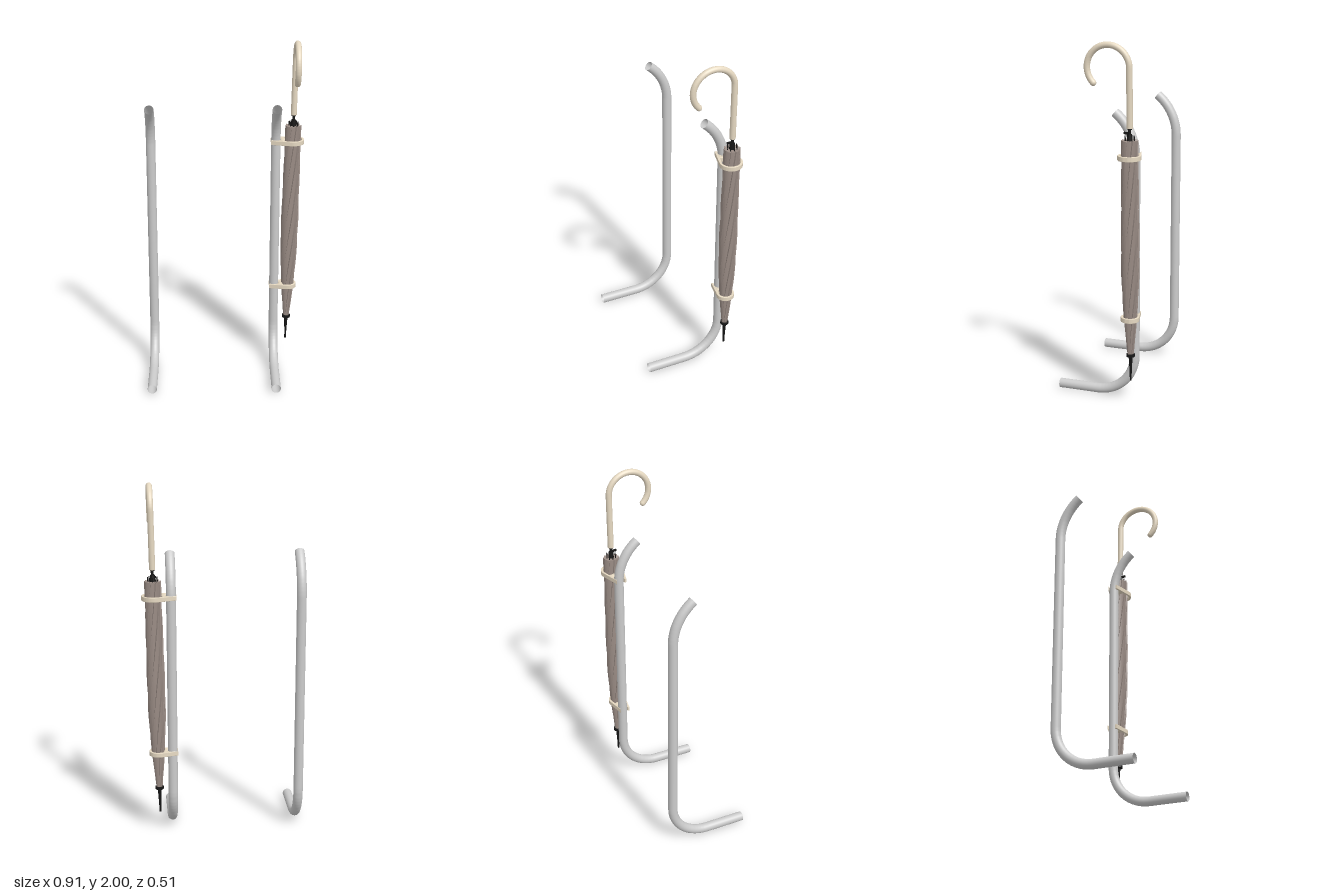
import * as THREE from 'three';
import { toCreasedNormals } from 'three/addons/utils/BufferGeometryUtils.js';

const mat = (color, side = THREE.FrontSide) => new THREE.MeshStandardMaterial({ color, side });
const metal = mat(0xcccccc, THREE.DoubleSide);
const cream = mat(0xe6d9c2);
const cloth = mat(0x9a8c85, THREE.DoubleSide);
const black = mat(0x161616);

const PIPE_Z = -0.19;
const PIPE_R = 0.027;
const TILT = 0.0176; // lean of the umbrella towards its left

function add(parent, name, geometry, material, x = 0, y = 0, z = 0) {
  const mesh = new THREE.Mesh(geometry, material);
  mesh.name = name;
  mesh.position.set(x, y, z);
  parent.add(mesh);
  return mesh;
}

// Points on an arc in the z-y plane, angles in degrees measured from +z
function arc(cz, cy, r, from, to, n = 14) {
  return Array.from({ length: n + 1 }, (_, i) => {
    const a = THREE.MathUtils.degToRad(from + ((to - from) * i) / n);
    return new THREE.Vector3(0, cy + r * Math.sin(a), cz + r * Math.cos(a));
  });
}

function sweep(points, radius, segments, sides) {
  const path = new THREE.CurvePath();
  for (let i = 1; i < points.length; i++) path.add(new THREE.LineCurve3(points[i - 1], points[i]));
  return new THREE.TubeGeometry(path, segments, radius, sides);
}

// Bent hollow pipe: foot, long upright, forward-leaning top
function pipeGeometry() {
  return sweep([
    new THREE.Vector3(0, PIPE_R, 0.26),
    ...arc(0.03, PIPE_R + 0.22, 0.22, 270, 180),
    ...arc(PIPE_Z + 0.3, 1.375, 0.3, 180, 128),
  ], PIPE_R, 180, 24);
}

// Clip: open jaw around the pipe joined to a ring around the umbrella
function clipGeometry(cx, outer) {
  const px = 0.29, inner = outer - 0.013, a = 1.83;
  const shape = new THREE.Shape();
  shape.moveTo(0.26, -0.034);
  shape.absarc(cx, 0, outer, -a, a, false);
  shape.lineTo(0.26, 0.034);
  shape.lineTo(0.26, 0.024);
  shape.absarc(px, 0, PIPE_R + 0.001, 2.3, -2.3, true);
  shape.lineTo(0.26, -0.024);
  shape.closePath();

  const hole = new THREE.Path();
  hole.absarc(cx, 0, inner, -a, a, false);
  hole.lineTo(0.335, inner * 0.75);
  hole.quadraticCurveTo(0.35, 0, 0.335, -inner * 0.75);
  hole.closePath();
  shape.holes.push(hole);

  const g = new THREE.ExtrudeGeometry(shape, {
    depth: 0.02, bevelEnabled: true, bevelThickness: 0.003, bevelSize: 0.002,
    bevelOffset: -0.002, bevelSegments: 2, curveSegments: 28,
  });
  g.translate(0, 0, -0.01);
  g.rotateX(Math.PI / 2);
  return toCreasedNormals(g, 0.6);
}

// Rolled cloth: a cylinder whose sides become twisted, overlapping pleats
function clothGeometry() {
  const profile = [[0.28, 0.017], [0.4, 0.029], [0.5, 0.037], [0.6, 0.044],
    [0.72, 0.049], [0.9, 0.051], [1.2, 0.048], [1.48, 0.046]];
  const radiusAt = (y) => {
    const i = Math.max(1, profile.findIndex((p) => p[0] >= y - 1e-6));
    const [y0, r0] = profile[i - 1], [y1, r1] = profile[i];
    return THREE.MathUtils.mapLinear(y, y0, y1, r0, r1);
  };
  const pleats = 10, steps = 8, height = 1.2;
  const g = new THREE.CylinderGeometry(1, 1, height, pleats * steps, 48);
  const pos = g.attributes.position;
  for (let i = 0; i < pos.count; i++) {
    const x = pos.getX(i), z = pos.getZ(i), unit = Math.hypot(x, z);
    const y = THREE.MathUtils.clamp(pos.getY(i) + height / 2 + 0.28, 0.28, 1.48);
    const a = Math.atan2(z, x);
    const step = Math.round((a / (2 * Math.PI)) * pleats * steps) + pleats * steps;
    const fold = (step % steps) / (steps - 1);
    const r = unit * radiusAt(y) * (0.84 + 0.16 * fold);
    const turn = a - 2.6 * (y - 0.28);
    const hem = y > 1.479 && unit > 0.5 ? 0.006 * fold : 0;
    pos.setXYZ(i, r * Math.cos(turn), y + hem, r * Math.sin(turn));
  }
  return toCreasedNormals(g, 0.5);
}

function createUmbrella() {
  const umbrella = new THREE.Group();
  umbrella.name = 'umbrella';
  umbrella.position.set(0.363, 0, PIPE_Z - 0.003);
  umbrella.rotation.z = -TILT;

  add(umbrella, 'rolledCloth', clothGeometry(), cloth);
  add(umbrella, 'shaft', new THREE.CylinderGeometry(0.008, 0.008, 1.28, 12), black, 0, 0.92);

  // Ferrule at the bottom
  const ferrule = [[0, 0.13], [0.005, 0.13], [0.006, 0.18], [0.01, 0.255], [0.012, 0.268],
    [0.024, 0.272], [0.024, 0.286], [0, 0.29]].map(([r, y]) => new THREE.Vector2(r, y));
  add(umbrella, 'ferrule', toCreasedNormals(new THREE.LatheGeometry(ferrule, 20), 0.6), black);

  // Runner, button and rib tips at the open end
  add(umbrella, 'runner', new THREE.CylinderGeometry(0.013, 0.016, 0.035, 16), black, 0, 1.5);
  add(umbrella, 'collar', new THREE.CylinderGeometry(0.012, 0.012, 0.012, 16), black, 0, 1.546);
  add(umbrella, 'button', new THREE.BoxGeometry(0.008, 0.012, 0.03), black, 0, 1.522, 0.018);
  for (let i = 0; i < 8; i++) {
    const a = (i / 8) * Math.PI * 2;
    add(umbrella, 'ribTip', new THREE.CylinderGeometry(0.003, 0.003, 0.04, 6), black,
      0.026 * Math.cos(a), 1.487, 0.026 * Math.sin(a));
  }

  // Crook handle with closed ends
  const r = 0.017;
  const crook = [new THREE.Vector3(0, 1.55, 0), ...arc(0.119, 1.864, 0.119, 180, -45, 36)];
  const end = crook[crook.length - 1];
  add(umbrella, 'handle', sweep(crook, r, 110, 18), cream);
  add(umbrella, 'handleEnd', new THREE.SphereGeometry(r, 18, 12), cream, end.x, end.y, end.z).scale.setScalar(0.99);
  add(umbrella, 'handleBase', new THREE.CylinderGeometry(r, r, 0.006, 18), cream, 0, 1.55);
  return umbrella;
}

export function createModel() {
  const model = new THREE.Group();
  model.name = 'umbrellaStand';

  const pipe = pipeGeometry();
  add(model, 'rightPipe', pipe, metal, -0.43);
  add(model, 'leftPipe', pipe, metal, 0.29);

  add(model, 'upperClip', clipGeometry(0.388, 0.064), cream, 0, 1.39, PIPE_Z);
  add(model, 'lowerClip', clipGeometry(0.3716, 0.051), cream, 0, 0.49, PIPE_Z);

  model.add(createUmbrella());
  return model;
}
